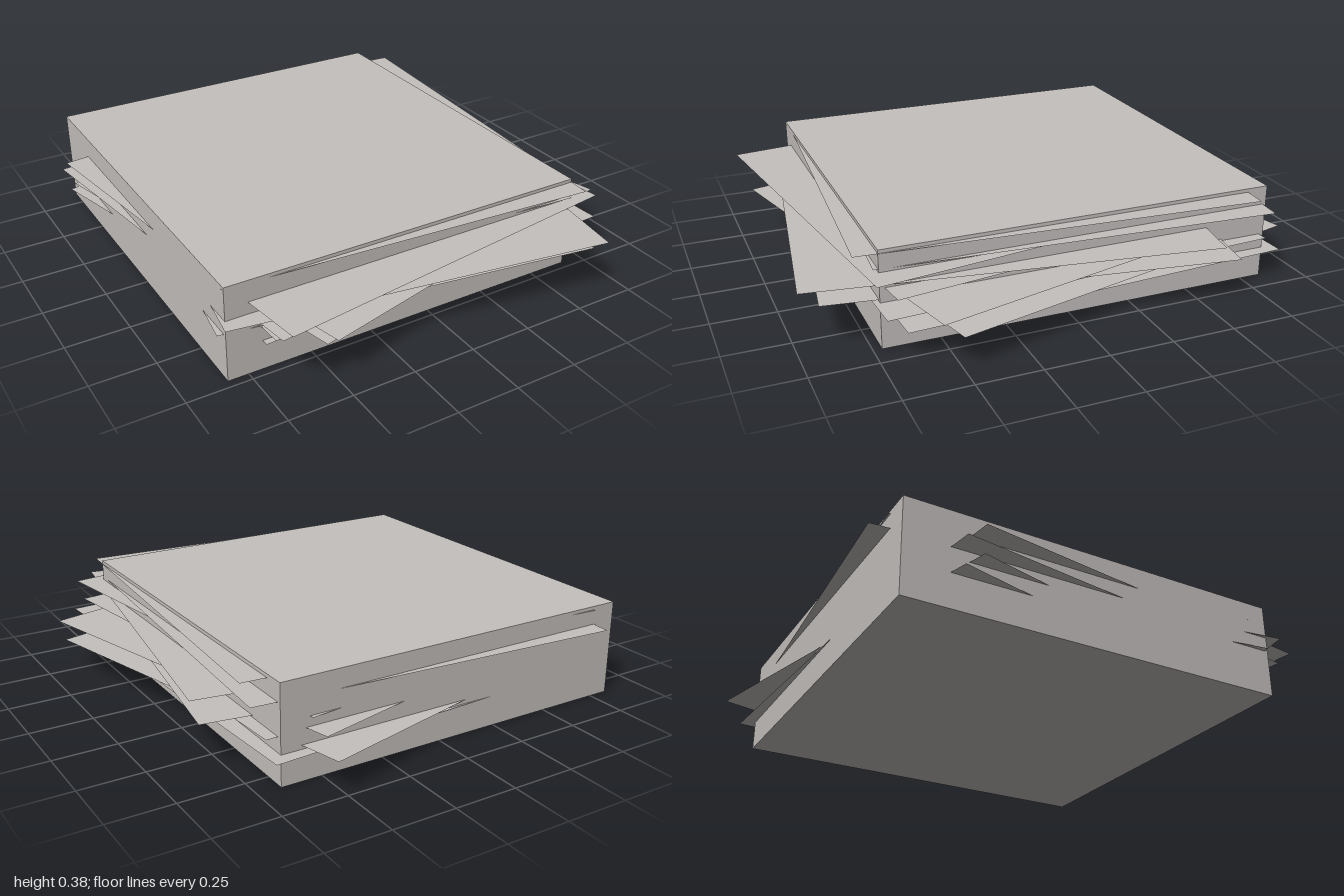
import * as THREE from 'three';

export function createModel() {
  const model = new THREE.Group();
  model.name = 'paperStack';

  const paper = new THREE.MeshStandardMaterial({ color: 0xc5c0be, side: THREE.DoubleSide });
  paper.name = 'paper grey';

  const width = 1.49, depth = 1.555, height = 0.38;

  // Solid block of neatly stacked paper
  const block = new THREE.Mesh(new THREE.BoxGeometry(width, height, depth), paper);
  block.name = 'paperBlock';
  block.position.set(-0.085, height / 2, -0.06);
  model.add(block);

  // Loose sheets poking out of the block: [x, y, z, turn in degrees]
  const sheets = [
    [0.007, 0.12, -0.073, 3.3],
    [0.008, 0.136, -0.067, 14.2],
    [-0.003, 0.187, 0.042, -8.5],
    [-0.081, 0.235, 0.02, 8.2],
    [-0.036, 0.306, -0.09, -3.8],
  ];
  const sheetGeometry = new THREE.PlaneGeometry(width, depth).rotateX(-Math.PI / 2);

  // The same fan of sheets appears twice, the upper one shifted forward
  ['lower', 'upper'].forEach((level, i) => {
    const fan = new THREE.Group();
    fan.name = level + 'LooseSheets';
    fan.position.set(0, 0.06 * i, 0.07 * i);
    sheets.forEach(([x, y, z, turn], n) => {
      const sheet = new THREE.Mesh(sheetGeometry, paper);
      sheet.name = level + 'Sheet' + (n + 1);
      sheet.position.set(x, y, z);
      sheet.rotation.y = THREE.MathUtils.degToRad(turn);
      fan.add(sheet);
    });
    model.add(fan);
  });

  return model;
}
